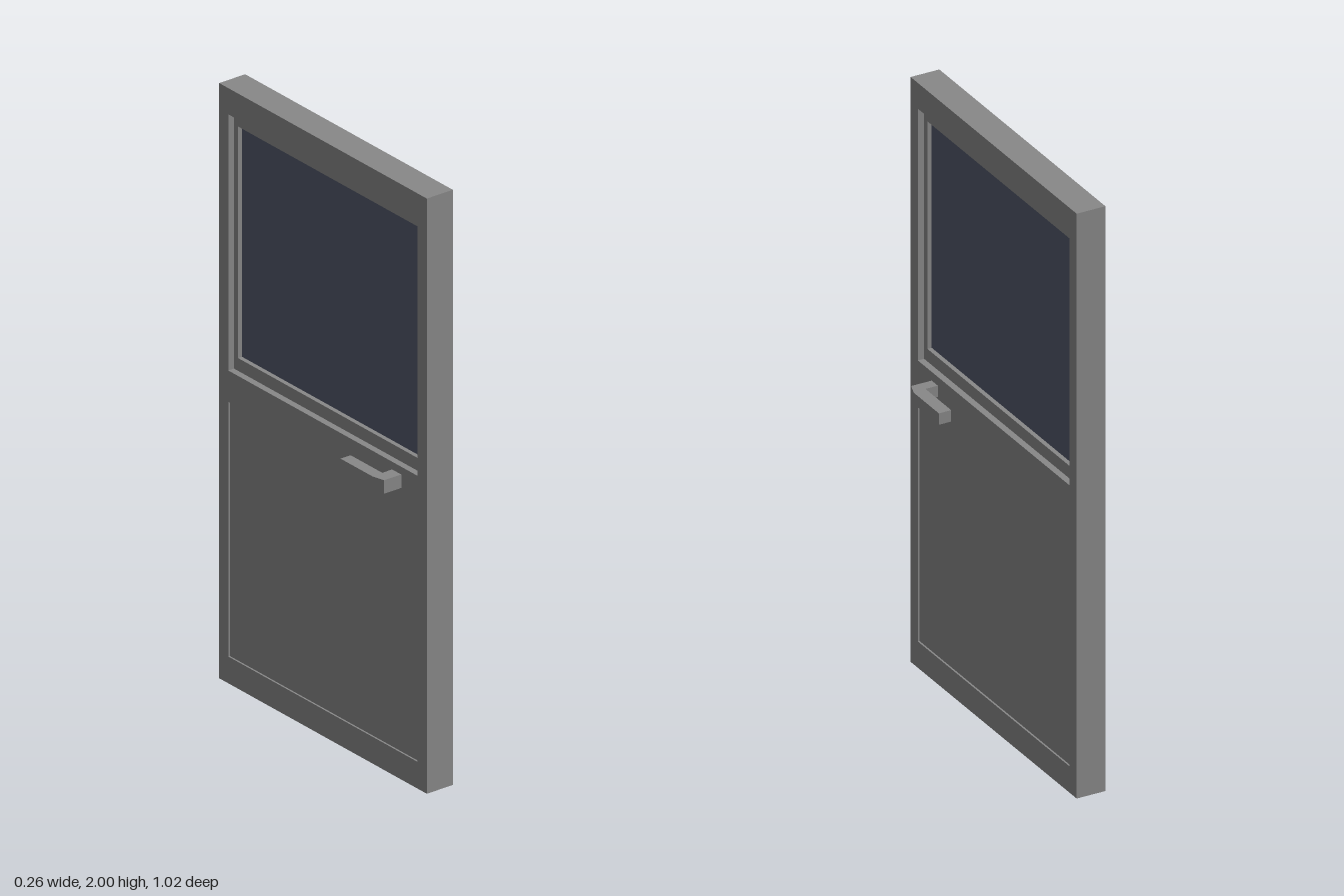
import * as THREE from 'three';

const grey = new THREE.MeshStandardMaterial({ color: 0x888888 });
const glassBlue = new THREE.MeshStandardMaterial({ color: 0x515769 });

// Rectangle [z0, z1, y0, y1] drawn onto a Shape or Path
function rect(path, [z0, z1, y0, y1]) {
  path.moveTo(z0, y0);
  path.lineTo(z1, y0);
  path.lineTo(z1, y1);
  path.lineTo(z0, y1);
  path.closePath();
  return path;
}

// Upright plate in the z-y plane, centred on x, with rectangular openings
function plate(name, outline, openings, x, thickness, material = grey) {
  const shape = rect(new THREE.Shape(), outline);
  shape.holes = openings.map((o) => rect(new THREE.Path(), o));
  const geo = new THREE.ExtrudeGeometry(shape, { depth: thickness, bevelEnabled: false });
  geo.rotateY(-Math.PI / 2).translate(x + thickness / 2, 0, 0);
  const mesh = new THREE.Mesh(geo, material);
  mesh.name = name;
  return mesh;
}

// L-shaped lever: [x, z] plan outline extruded in height
function lever(name, outline, y0, y1) {
  const shape = new THREE.Shape(outline.map(([x, z]) => new THREE.Vector2(x, z)));
  const geo = new THREE.ExtrudeGeometry(shape, { depth: y1 - y0, bevelEnabled: false });
  geo.rotateX(Math.PI / 2).translate(0, y1, 0);
  const mesh = new THREE.Mesh(geo, grey);
  mesh.name = name;
  return mesh;
}

export function createModel() {
  const door = new THREE.Group();
  door.name = 'door';

  const mid = -0.005; // middle plane of the leaf
  const windowOpening = [-0.467, 0.467, 1.051, 1.912];
  const panelOpening = [-0.467, 0.467, 0.09, 0.946];
  const paneOpening = [-0.447, 0.447, 1.094, 1.872];

  // Leaf with its two openings
  door.add(plate('doorLeaf', [-0.512, 0.512, 0, 2], [windowOpening, panelOpening], mid, 0.1));

  // Shallow recessed lower panel
  door.add(plate('lowerPanel', panelOpening, [], mid, 0.088));

  // Recessed window frame and pane
  door.add(plate('windowFrame', windowOpening, [paneOpening], mid, 0.056));
  door.add(plate('windowPane', paneOpening, [], mid, 0.026, glassBlue));

  // Lever handles on both faces
  door.add(lever('leftHandle', [
    [0.04, 0.344], [0.088, 0.344], [0.088, 0.185], [0.131, 0.185],
    [0.131, 0.341], [0.116, 0.382], [0.04, 0.382],
  ], 0.982, 1.021));
  door.add(lever('rightHandle', [
    [-0.05, 0.341], [-0.093, 0.341], [-0.093, 0.185], [-0.132, 0.185],
    [-0.132, 0.341], [-0.121, 0.386], [-0.05, 0.386],
  ], 0.98, 1.025));

  return door;
}
